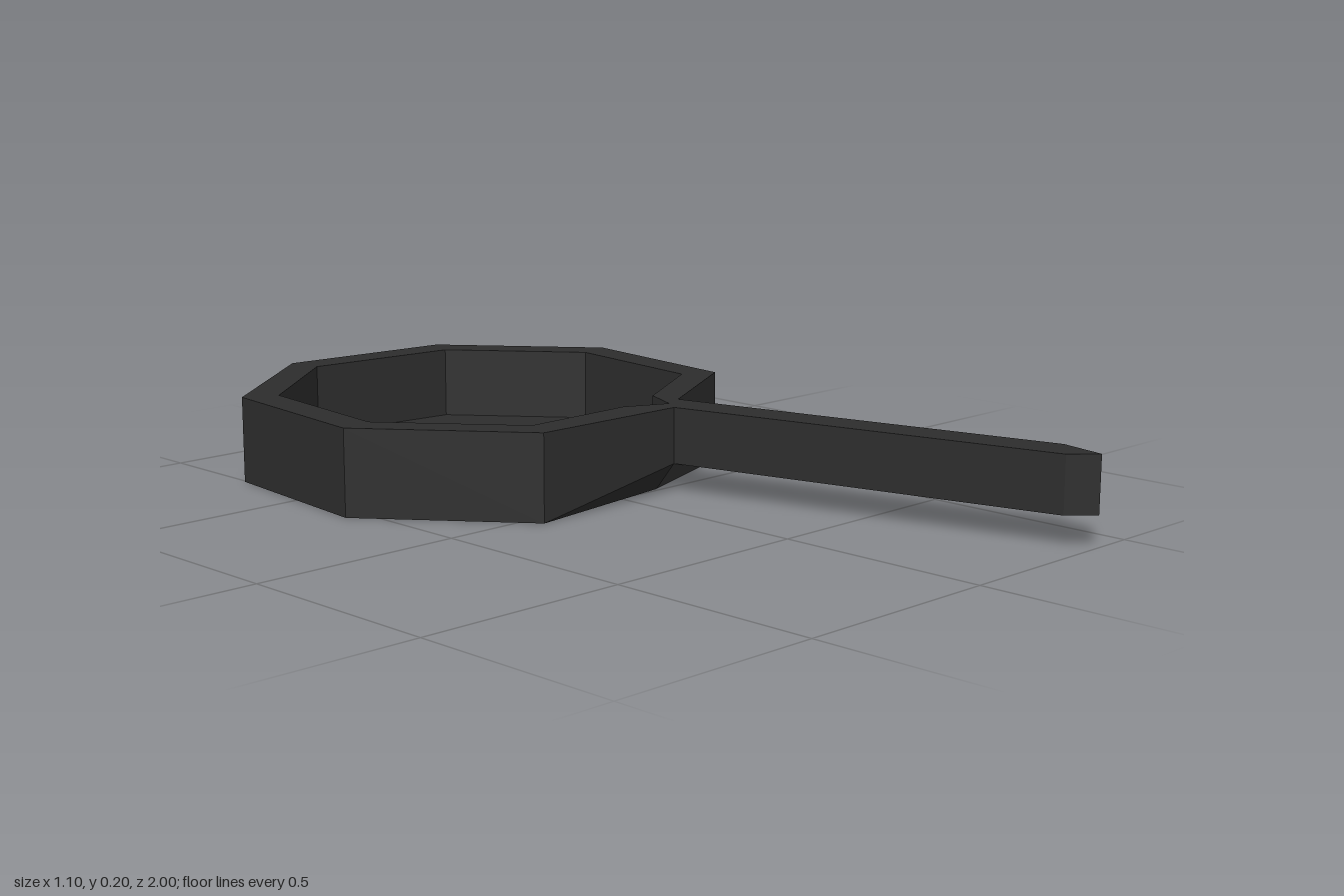
import * as THREE from 'three';

const TOP = 0.2, FLOOR = 0.03, UNDER = 0.07;

// plan outlines as [x, z]; entries 4 and 5 of the outer loop are the handle joints
const outer = [[-0.16, -1], [0.27, -0.955], [0.545, -0.62], [0.5, -0.18], [0.195, -0.01],
  [0.12, 0.05], [-0.275, 0.045], [-0.55, -0.295], [-0.505, -0.73]];
const inner = [[-0.145, -0.92], [0.235, -0.88], [0.465, -0.6], [0.425, -0.22], [0.183, -0.08],
  [0.145, 0.01], [0.045, -0.036], [-0.24, -0.03], [-0.47, -0.31], [-0.43, -0.69]];
const handlePlan = [outer[4], [0.425, -0.11 + 1], [0.402, 1], [0.347, 0.95], outer[5]];
const baseCorner = [0.125, -0.01];
const handleRoot = [0.165, 0.105];

const at = ([x, z], y) => [x, y, z];
const plan = (pts, sign) => pts.map(([x, z]) => new THREE.Vector2(x, sign * z));

function fromTriangles(tris) {
  const g = new THREE.BufferGeometry();
  g.setAttribute('position', new THREE.Float32BufferAttribute(tris.flat(2), 3));
  g.computeVertexNormals();
  return g;
}

// upright faces joining an upper and a lower loop; skip leaves one side open
function walls(upper, lower, inward = false, skip = -1) {
  const tris = [];
  upper.forEach((a, i) => {
    if (i === skip) return;
    const j = (i + 1) % upper.length;
    const quad = [[a, upper[j], lower[i]], [upper[j], lower[j], lower[i]]];
    quad.forEach((t) => tris.push(inward ? t.reverse() : t));
  });
  return fromTriangles(tris);
}

// flat horizontal face, with an optional hole
function cap(pts, y, up = true, hole) {
  const s = new THREE.Shape(plan(pts, up ? -1 : 1));
  if (hole) s.holes.push(new THREE.Path(plan(hole, up ? -1 : 1)));
  return new THREE.ShapeGeometry(s).rotateX(up ? -Math.PI / 2 : Math.PI / 2).translate(0, y, 0);
}

export function createModel() {
  const iron = new THREE.MeshStandardMaterial({ color: 0x2d2d2d, flatShading: true });
  iron.name = 'darkIron';
  const model = new THREE.Group();
  model.name = 'fryingPan';
  const add = (name, geometry) => {
    const mesh = new THREE.Mesh(geometry, iron);
    mesh.name = name;
    model.add(mesh);
  };

  // bowl
  const isJoint = (i) => i === 4 || i === 5;
  add('outerWall', walls(outer.map((p) => at(p, TOP)),
    outer.map((p, i) => at(p, isJoint(i) ? UNDER : 0)), false, 4));
  add('rim', cap(outer, TOP, true, inner));
  add('innerWall', walls(inner.map((p) => at(p, TOP)), inner.map((p) => at(p, FLOOR)), true));
  add('cookingSurface', cap(inner, FLOOR));
  add('base', cap([...outer.slice(0, 4), baseCorner, ...outer.slice(6)], 0, false));

  // sloping underside between the base and the handle
  const hub = at(baseCorner, 0);
  const fan = [at(outer[3], 0), at(outer[4], UNDER), at(handleRoot, UNDER),
    at(outer[5], UNDER), at(outer[6], 0)];
  add('handleBrace', fromTriangles(fan.slice(1).map((p, i) => [hub, fan[i], p])));

  // handle with a pointed end
  const handle = new THREE.ExtrudeGeometry(new THREE.Shape(plan(handlePlan, -1)),
    { depth: TOP - UNDER, bevelEnabled: false });
  add('handle', handle.rotateX(-Math.PI / 2).translate(0, UNDER, 0));

  return model;
}
